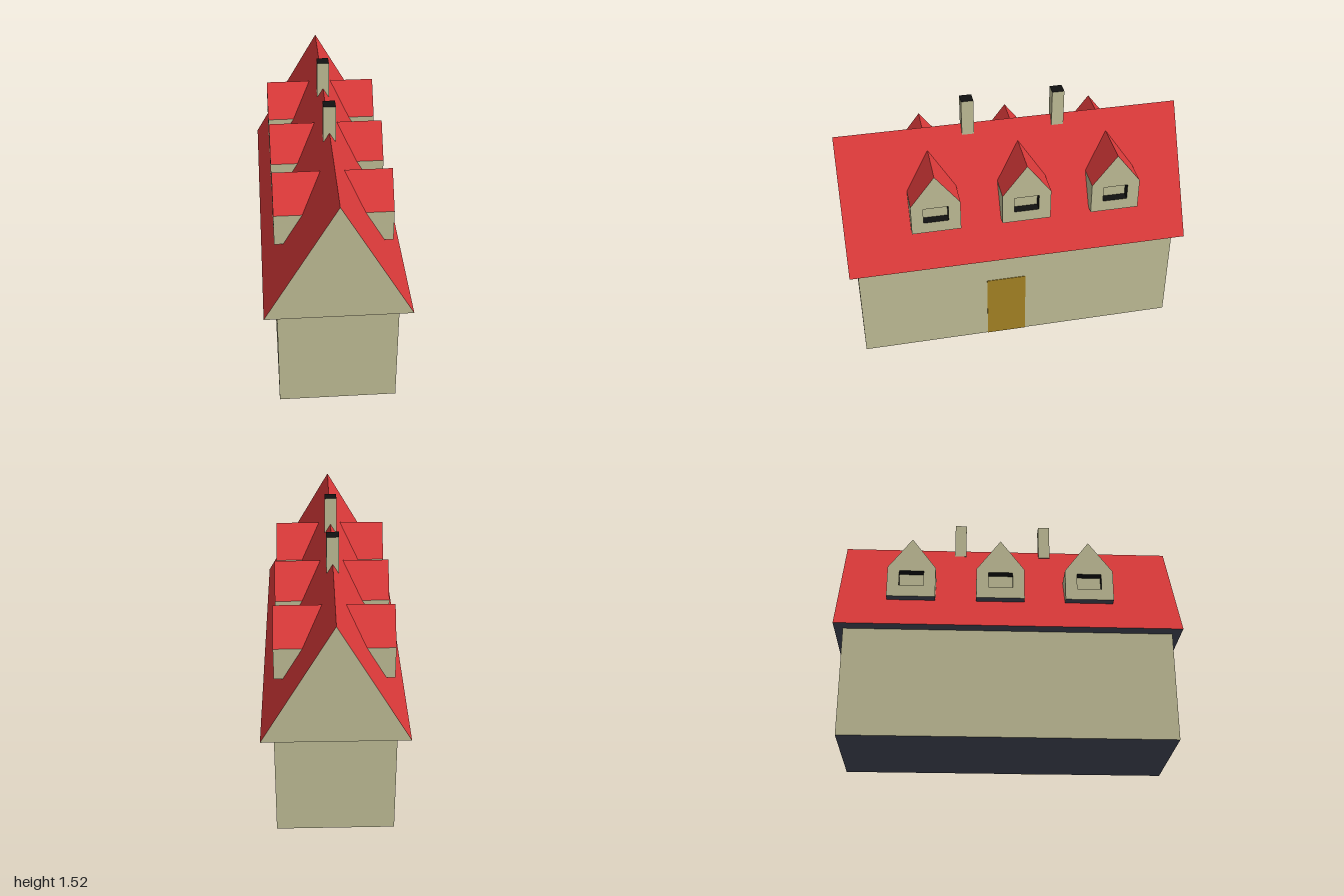
import * as THREE from 'three';

const mat = (name, color) => {
  const m = new THREE.MeshStandardMaterial({ color });
  m.name = name;
  return m;
};

// Flat polygons (corners counter-clockwise from outside) joined in one mesh
function faces(name, material, polygons) {
  const pos = [];
  for (const p of polygons)
    for (let i = 1; i < p.length - 1; i++) pos.push(...p[0], ...p[i], ...p[i + 1]);
  const g = new THREE.BufferGeometry();
  g.setAttribute('position', new THREE.Float32BufferAttribute(pos, 3));
  g.computeVertexNormals();
  const mesh = new THREE.Mesh(g, material);
  mesh.name = name;
  return mesh;
}

function box(name, material, size, at) {
  const mesh = new THREE.Mesh(new THREE.BoxGeometry(...size), material);
  mesh.position.set(...at);
  mesh.name = name;
  return mesh;
}

const EAVE = 0.645, RIDGE = 1.355, HALF = 0.405;
const roofX = (y) => HALF * (RIDGE - y) / (RIDGE - EAVE);

export function createModel() {
  const wall = mat('wall beige', 0xc6c39b);
  const red = mat('roof red', 0xdd3a3a);
  const dark = mat('underside slate', 0x4b5060);
  const black = mat('black', 0x111111);
  const ochre = mat('door ochre', 0xaa8725);
  const model = new THREE.Group();
  model.name = 'house';

  // Walls; box sides are +x, -x, +y, -y, +z, -z
  model.add(box('walls', [wall, wall, wall, dark, wall, wall], [0.665, EAVE, 1.9], [0, EAVE / 2, 0]));
  model.add(box('door', ochre, [0.004, 0.43, 0.235], [0.3335, 0.215, 0.073]));

  // Main roof: slopes, gable ends and soffit
  const slopes = [], gables = [];
  for (const s of [1, -1]) {
    slopes.push([[s * HALF, EAVE, s], [s * HALF, EAVE, -s], [0, RIDGE, -s], [0, RIDGE, s]]);
    gables.push([[-s * HALF, EAVE, s], [s * HALF, EAVE, s], [0, RIDGE, s]]);
  }
  model.add(faces('roofSlopes', red, slopes));
  model.add(faces('gables', wall, gables));
  model.add(faces('soffit', dark, [[[-HALF, EAVE, -1], [HALF, EAVE, -1], [HALF, EAVE, 1], [-HALF, EAVE, 1]]]));

  // Chimneys with black tops
  for (const z of [0.237, -0.287])
    model.add(box('chimney', [wall, wall, black, dark, wall, wall], [0.07, 0.22, 0.07], [0, 1.41, z]));

  // Dormers: three on each slope
  for (const turn of [0, Math.PI])
    for (const z of [0.478, -0.047, -0.572]) {
      const d = dormer(wall, red, dark, black);
      d.rotation.y = turn;
      d.position.z = z;
      model.add(d);
    }
  return model;
}

// Dormer facing +x, ending on the roof slope
function dormer(wall, red, dark, black) {
  const g = new THREE.Group();
  g.name = 'dormer';
  const X = 0.332, w = 0.142, y0 = 0.86, y1 = 1.05, y2 = 1.24;
  const a = 0.072, b0 = 0.93, b1 = 1.028, back = X - 0.05;

  // Front wall with the window opening
  const shape = new THREE.Shape([[-w, y0], [w, y0], [w, y1], [0, y2], [-w, y1]].map((p) => new THREE.Vector2(...p)));
  shape.holes.push(new THREE.Path([[-a, b0], [-a, b1], [a, b1], [a, b0]].map((p) => new THREE.Vector2(...p))));
  const front = new THREE.Mesh(new THREE.ShapeGeometry(shape).rotateY(Math.PI / 2).translate(X, 0, 0), wall);
  front.name = 'dormerFront';
  g.add(front);

  // Side cheeks, little roof and underside
  const r0 = roofX(y0), r1 = roofX(y1), r2 = roofX(y2);
  g.add(faces('dormerCheeks', wall, [
    [[r0, y0, w], [X, y0, w], [X, y1, w], [r1, y1, w]],
    [[X, y0, -w], [r0, y0, -w], [r1, y1, -w], [X, y1, -w]],
  ]));
  g.add(faces('dormerRoof', red, [
    [[r1, y1, w], [X, y1, w], [X, y2, 0], [r2, y2, 0]],
    [[X, y1, -w], [r1, y1, -w], [r2, y2, 0], [X, y2, 0]],
  ]));
  g.add(faces('dormerUnderside', dark, [[[r0, y0, -w], [X, y0, -w], [X, y0, w], [r0, y0, w]]]));

  // Window recess: pane and black reveals facing inward
  g.add(faces('windowPane', wall, [[[back, b0, a], [back, b0, -a], [back, b1, -a], [back, b1, a]]]));
  g.add(faces('windowReveal', black, [
    [[back, b0, a], [X, b0, a], [X, b0, -a], [back, b0, -a]],
    [[back, b1, -a], [X, b1, -a], [X, b1, a], [back, b1, a]],
    [[X, b0, a], [back, b0, a], [back, b1, a], [X, b1, a]],
    [[back, b0, -a], [X, b0, -a], [X, b1, -a], [back, b1, -a]],
  ]));
  return g;
}
